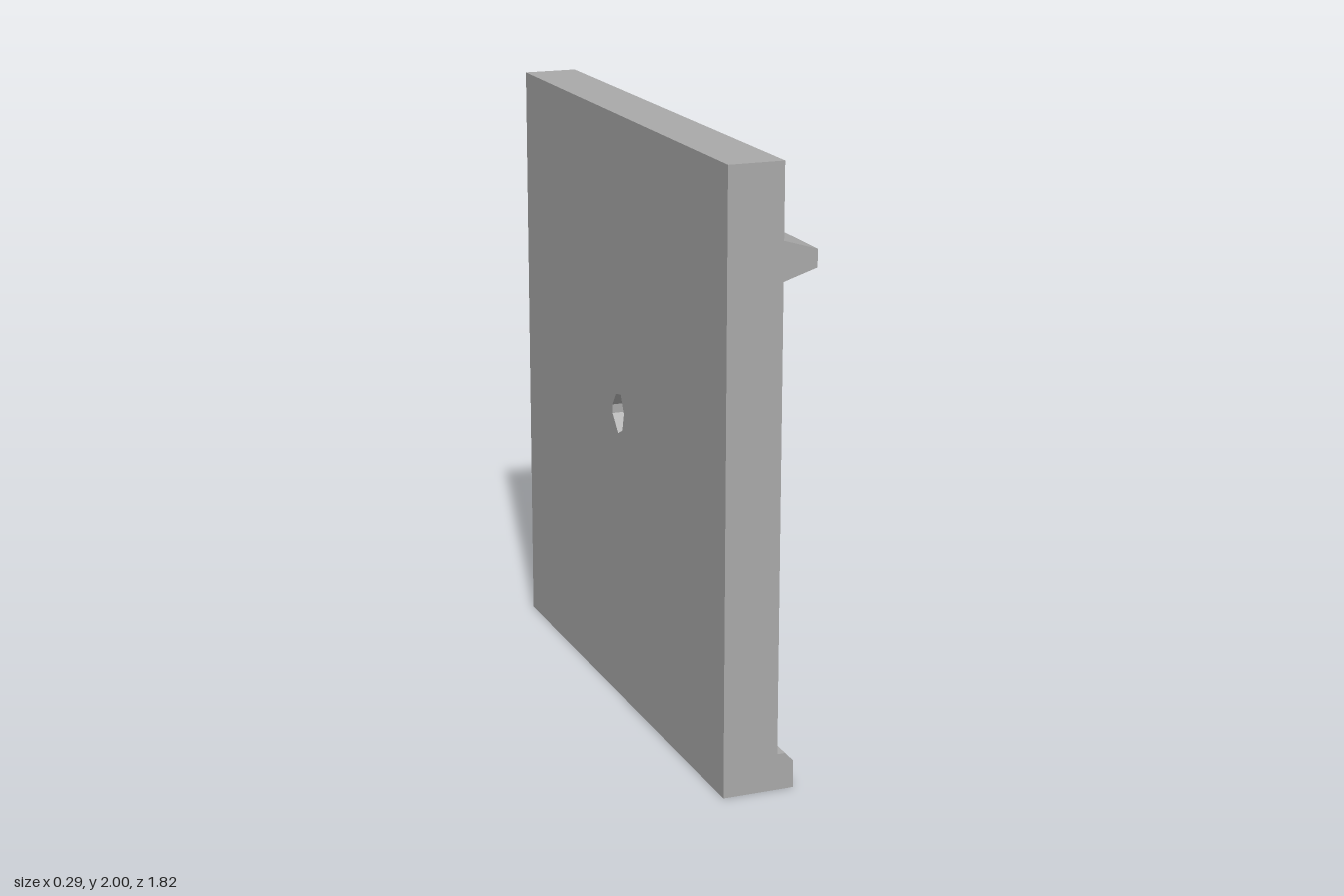
import * as THREE from 'three';
import { mergeGeometries } from 'three/addons/utils/BufferGeometryUtils.js';

const HALF = 0.912;                 // half length along z
const BACK = -0.147, FACE = 0.035;  // slab planes in x
const FLOOR = -0.03, SLOT = -0.07;  // recess and slot depths

// Rectangle loop, counter-clockwise seen from +x; u runs along -z, v along y
const rect = (u0, u1, v0, v1) => [[u0, v0], [u1, v0], [u1, v1], [u0, v1]];
// Place a (u, v) loop on the plane at x
const at = (loop, x) => loop.map(([u, v]) => [x, v, -u]);

// Walls joining two loops, with optional skipped edges
function walls(a, b, skip = []) {
  const pos = [];
  a.forEach((p, i) => {
    if (skip.includes(i)) return;
    const j = (i + 1) % a.length;
    pos.push(...p, ...a[j], ...b[j], ...p, ...b[j], ...b[i]);
  });
  const g = new THREE.BufferGeometry();
  g.setAttribute('position', new THREE.Float32BufferAttribute(pos, 3));
  g.computeVertexNormals();
  return g;
}

// Flat face from an outline with holes
function flat(outline, holes = []) {
  const vecs = (l) => l.map(([x, y]) => new THREE.Vector2(x, y));
  const shape = new THREE.Shape(vecs(outline));
  holes.forEach((h) => shape.holes.push(new THREE.Path(vecs(h))));
  const g = new THREE.ShapeGeometry(shape).toNonIndexed();
  g.deleteAttribute('uv');
  return g;
}
const facing = (x, outline, holes) => flat(outline, holes).rotateY(Math.PI / 2).translate(x, 0, 0);

export function createModel() {
  const group = new THREE.Group();
  const grey = new THREE.MeshStandardMaterial({ color: 0xaaaaaa });
  const add = (name, parts) => {
    const mesh = new THREE.Mesh(mergeGeometries(parts), grey);
    mesh.name = name;
    group.add(mesh);
  };

  // End profile: slab with a chamfered foot rail and a tapered upper rail
  const profile = [
    [BACK, 0], [0.09, 0], [0.09, 0.09], [0.062, 0.12], [FACE, 0.12],
    [FACE, 1.635], [0.145, 1.67], [0.145, 1.727], [FACE, 1.76], [FACE, 2], [BACK, 2],
  ];
  // Irregular through hole
  const hole = [
    [-0.02, 1.07], [-0.05, 1.01], [-0.035, 0.95], [0.005, 0.93],
    [0.058, 0.985], [0.058, 1.015], [0.025, 1.06],
  ];
  const panels = [-0.457, 0.457].map((c) => ({
    mouth: rect(c - 0.23, c + 0.23, 0.37, 1.63),
    floor: rect(c - 0.23, c + 0.23, 0.5, 1.5),
    slot: rect(c - 0.065, c + 0.065, 0.5, 1.5),
  }));

  // Slab and rails; the front (edge 4) and back (edge 10) are pierced faces
  const ends = [-HALF, HALF].map((z) => profile.map(([x, y]) => [x, y, z]));
  add('slabWithRails', [
    walls(ends[0], ends[1], [4, 10]),
    flat(profile).translate(0, 0, HALF),
    flat(profile.map(([x, y]) => [-x, y])).rotateY(Math.PI).translate(0, 0, -HALF),
  ]);
  add('frontFace', [facing(FACE, rect(-HALF, HALF, 0.12, 1.635), [hole, ...panels.map((p) => p.mouth)])]);
  add('backFace', [
    flat(rect(-HALF, HALF, 0, 2), [hole.map(([u, v]) => [-u, v])]).rotateY(-Math.PI / 2).translate(BACK, 0, 0),
  ]);
  add('boltHole', [walls(at(hole, FACE), at(hole, BACK))]);

  // Recesses with sloped ends, each with a deeper narrow slot
  panels.forEach((p, i) => {
    const side = i ? 'Rear' : 'Front';
    add('recess' + side, [walls(at(p.mouth, FACE), at(p.floor, FLOOR)), facing(FLOOR, p.floor.slice(0, 2).concat(p.floor.slice(2)), []).scale(1, 1, 1)].slice(0, 1));
    const [[u0], [u1]] = p.floor, [[s0], [s1]] = p.slot;
    add('recessFloor' + side, [
      facing(FLOOR, rect(u0, s0, 0.5, 1.5)),
      facing(FLOOR, rect(s1, u1, 0.5, 1.5)),
    ]);
    add('slot' + side, [walls(at(p.slot, FLOOR), at(p.slot, SLOT)), facing(SLOT, p.slot)]);
  });

  return group;
}
